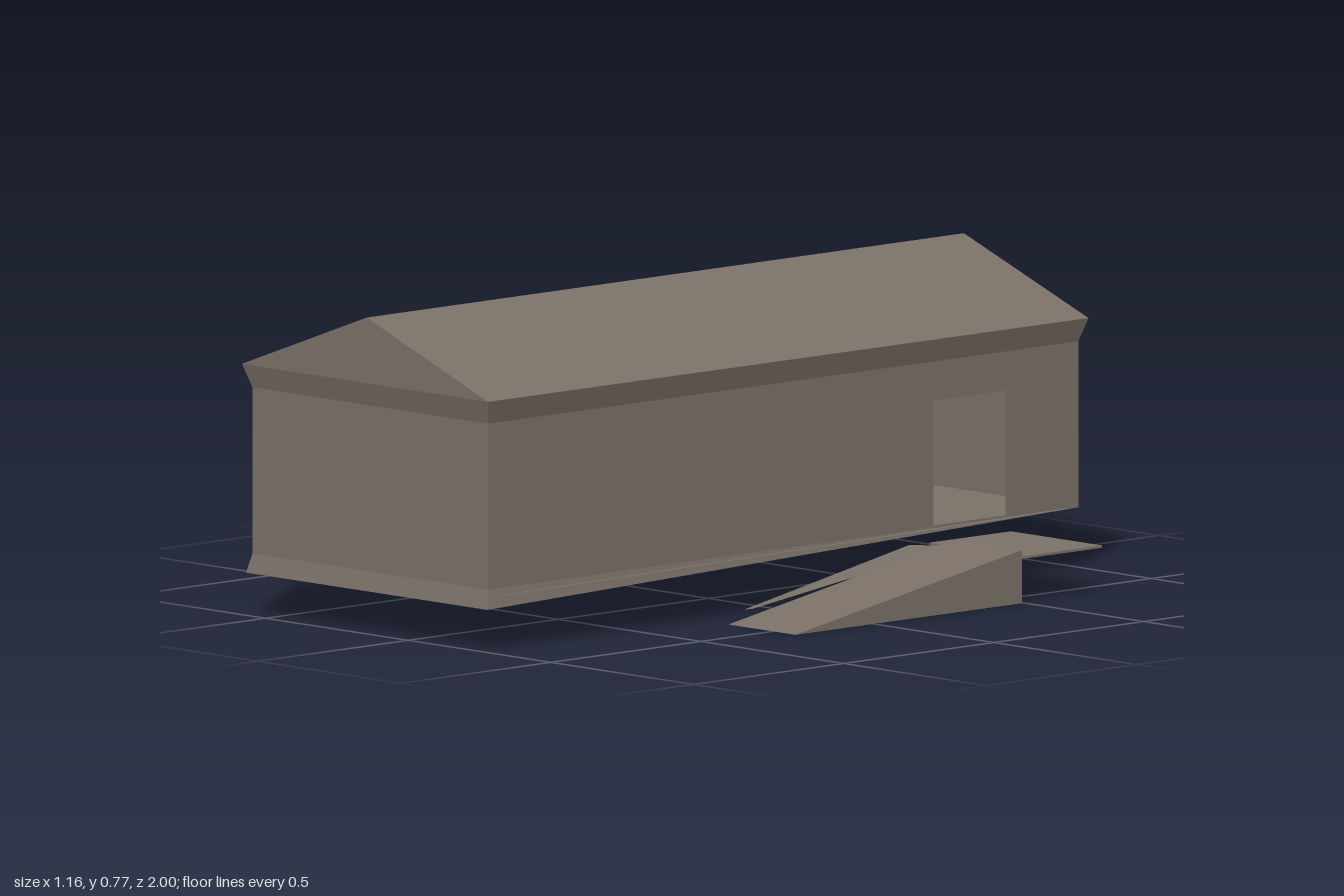
import * as THREE from 'three';

export function createModel() {
  const model = new THREE.Group();
  model.name = 'hallWithRamp';
  const boards = new THREE.MeshStandardMaterial({ color: 0x7a7067, side: THREE.DoubleSide });
  boards.name = 'weathered boards';

  const add = (name, geometry) => {
    const mesh = new THREE.Mesh(geometry, boards);
    mesh.name = name;
    model.add(mesh);
    return mesh;
  };
  // Flat faces: each is a list of 3 or 4 corners, counter-clockwise from outside
  const faces = (name, list) => {
    const pos = [];
    for (const f of list)
      for (let i = 1; i < f.length - 1; i++) pos.push(...f[0], ...f[i], ...f[i + 1]);
    const g = new THREE.BufferGeometry();
    g.setAttribute('position', new THREE.Float32BufferAttribute(pos, 3));
    g.computeVertexNormals();
    return add(name, g);
  };
  // Ring of corners: front left, front right, back right, back left
  const ring = (x0, x1, y, z) => [[x0, y, z], [x1, y, z], [x1, y, -z], [x0, y, -z]];
  const side = (a, b, i) => [a[i], a[(i + 1) % 4], b[(i + 1) % 4], b[i]];

  const low = ring(-0.563, 0.262, 0.15, 0.983);
  const high = ring(-0.563, 0.262, 0.555, 0.983);
  const eave = ring(-0.582, 0.28, 0.612, 1);

  // Plain walls: front, back, left side
  faces('walls', [0, 2, 3].map(i => side(low, high, i)));

  // Side wall with the doorway cut out, drawn in (-z, y)
  const wall = new THREE.Shape([[-0.983, 0.15], [0.983, 0.15], [0.983, 0.555], [-0.983, 0.555]]
    .map(p => new THREE.Vector2(...p)));
  wall.holes.push(new THREE.Path([[0.5, 0.155], [0.5, 0.46], [0.74, 0.46], [0.74, 0.155]]
    .map(p => new THREE.Vector2(...p))));
  const doorWall = add('doorWall', new THREE.ShapeGeometry(wall));
  doorWall.rotation.y = Math.PI / 2;
  doorWall.position.x = 0.262;

  // Flared eaves and gabled roof
  faces('eaves', [0, 1, 2, 3].map(i => side(high, eave, i)));
  const ridgeF = [-0.145, 0.772, 1], ridgeB = [-0.157, 0.772, -1];
  faces('roof', [
    [eave[1], eave[2], ridgeB, ridgeF],
    [eave[3], eave[0], ridgeF, ridgeB],
    [eave[0], eave[1], ridgeF],
    [eave[2], eave[3], ridgeB],
  ]);

  // Skirt dropping towards the front, with a sloping underside
  const footL = [-0.573, 0.103, 0.995], footR = [0.273, 0.103, 0.995];
  faces('skirt', [
    [footL, footR, low[1], low[0]],
    [footR, low[2], low[1]],
    [low[3], footL, low[0]],
    [footL, low[3], low[2], footR],
  ]);
  faces('floor', [[[-0.55, 0.133, 0.93], [0.275, 0.133, 0.93], [0.275, 0.152, -0.94], [-0.55, 0.152, -0.94]]]);

  // Landing outside the door
  const landing = add('landing', new THREE.BoxGeometry(0.32, 0.006, 0.27));
  landing.position.set(0.42, 0.111, -0.625);

  // Wedge ramp
  const wedge = new THREE.Shape([[-0.26, 0], [0.495, 0], [0.495, 0.13]]
    .map(p => new THREE.Vector2(...p)));
  const ramp = add('ramp', new THREE.ExtrudeGeometry(wedge, { depth: 0.235, bevelEnabled: false }));
  ramp.rotation.y = Math.PI / 2;
  ramp.position.x = 0.344;

  // Sloping board between ramp and wall
  faces('rampBoard', [[[0.21, 0.105, -0.47], [0.315, 0.025, 0.18], [0.345, 0.03, 0.18], [0.345, 0.115, -0.49]]]);

  return model;
}
